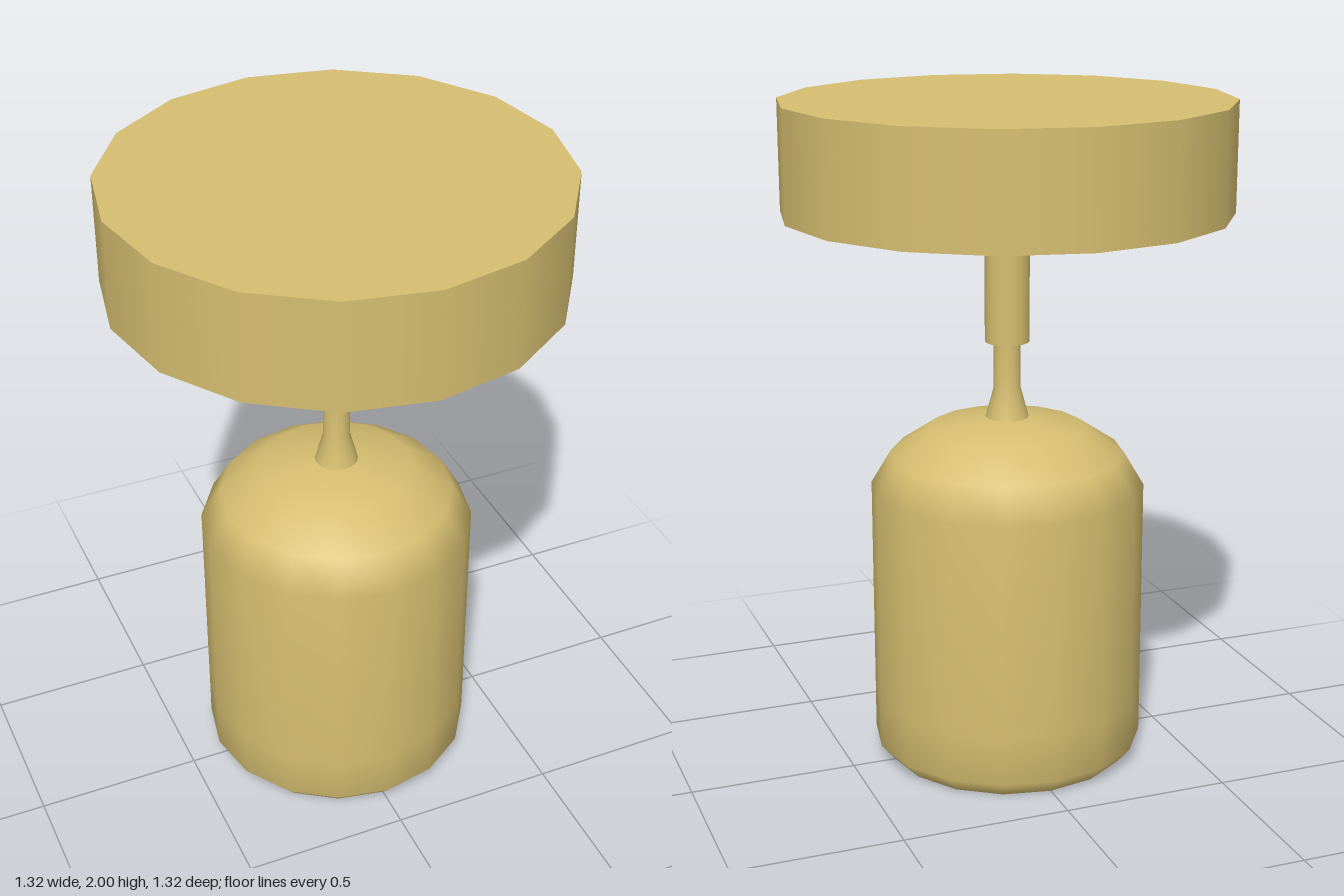
import * as THREE from 'three';

const SIDES = 16;

export function createModel() {
  const model = new THREE.Group();
  model.name = 'spotLamp';
  const brass = new THREE.MeshStandardMaterial({ color: 0xd6be70 });
  brass.name = 'brass';

  const add = (name, geometry, y = 0) => {
    const mesh = new THREE.Mesh(geometry, brass);
    mesh.name = name;
    mesh.position.y = y;
    model.add(mesh);
  };
  const cylinder = (name, radius, y0, y1) =>
    add(name, new THREE.CylinderGeometry(radius, radius, y1 - y0, SIDES), (y0 + y1) / 2);
  const lathe = (name, profile) =>
    add(name, new THREE.LatheGeometry(profile.map(([r, y]) => new THREE.Vector2(r, y)), SIDES));

  // Ceiling mount and rod
  cylinder('ceilingPlate', 0.66, 1.675, 2);
  cylinder('rod', 0.066, 1.29, 1.675);

  // Thin neck flaring out onto the shade
  lathe('neck', [[0.066, 1.055], [0.04, 1.15], [0.04, 1.29]]);

  // Hollow shade: domed shell, flat rim, inner wall
  lathe('shadeShell', [
    [0.367, 0], [0.41, 0.05], [0.41, 0.2], [0.41, 0.85],
    [0.35, 0.95], [0.23, 1.03], [0.065, 1.06], [0, 1.06],
  ]);
  lathe('shadeRim', [[0.345, 0], [0.367, 0]]);
  lathe('shadeInside', [[0, 1.03], [0.21, 1.0], [0.3, 0.93], [0.345, 0.83], [0.345, 0]]);

  return model;
}
